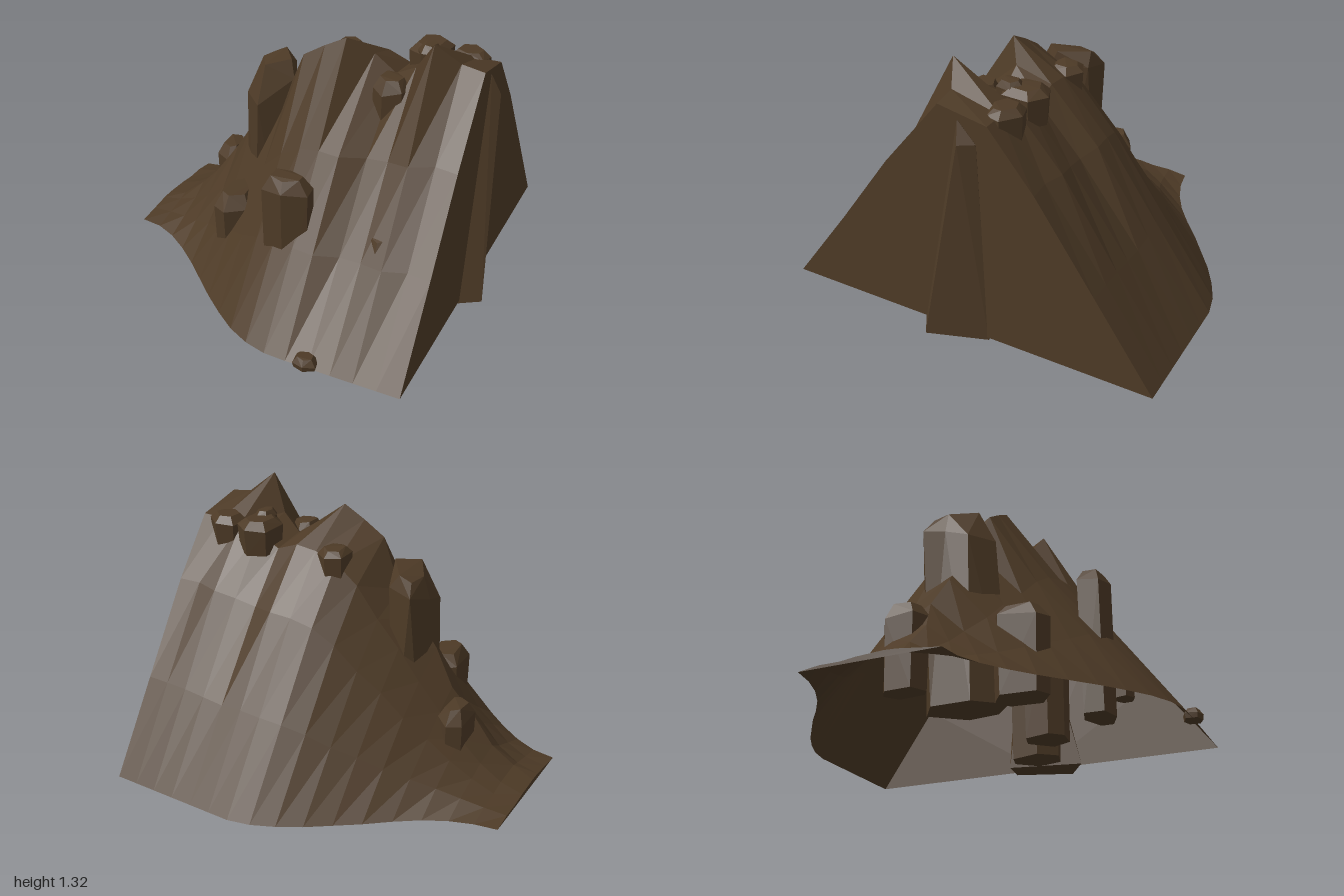
import * as THREE from 'three';
import { ConvexGeometry } from 'three/addons/geometries/ConvexGeometry.js';

const earth = new THREE.MeshStandardMaterial({ color: 0x4d3a26, flatShading: true, side: THREE.DoubleSide });
earth.name = 'earth brown';

const BASE = 0.015;
// Along the hill: x spacing, front and back edge, ridge height, ridge z, general height, rib offset
const X0 = -0.955, STEP = 0.113;
const front = [0.27, 0.285, 0.335, 0.41, 0.5, 0.6, 0.7, 0.79, 0.87, 0.925, 0.955, 0.96, 0.96, 0.96, 0.96, 0.96, 0.96];
const back = [-0.41, -0.43, -0.47, -0.53, -0.61, -0.7, -0.78, -0.86, -0.925, -0.975, -1, -1, -1, -1, -1, -1, -1];
const ridgeY = [0.045, 0.08, 0.17, 0.29, 0.45, 0.62, 0.76, 0.88, 1.12, 1.19, 1.25, 1.16, 1.08, 1.15, 1.32, 1.22, 1.2];
const ridgeZ = [0.0, 0.02, 0.0, 0.02, -0.02, 0.02, 0.03, 0.04, 0.08, 0.08, 0.08, 0.0, 0.0, 0.04, 0.12, 0.06, 0.06];
const mass = [0.04, 0.075, 0.15, 0.26, 0.39, 0.54, 0.7, 0.84, 1, 1.1, 1.14, 1.15, 1.13, 1.16, 1.19, 1.2, 1.2];
const rib = [0, 0, 0, 0.01, -0.01, 0.01, 0, 0.01, 0.01, 0.01, 0.02, 0.04, -0.03, -0.01, 0.03, -0.02, 0];

// One cross-section of the hill, front edge to back edge, as [z, y]
function section(i) {
  const c = (front[i] + back[i]) / 2, w = (front[i] - back[i]) / 2, h = mass[i];
  return [
    [front[i], BASE],
    [c + 0.68 * w + rib[i] * 0.7, BASE + h * 0.35],
    [c + 0.39 * w + rib[i], BASE + h * 0.68],
    [ridgeZ[i], ridgeY[i]],
    [c - 0.17 * w, Math.min(ridgeY[i] * 0.98, h * 0.96)],
    [c - 0.4 * w - rib[i] * 0.5, h * 0.73],
    [c - 0.7 * w, BASE + h * 0.36],
    [back[i], BASE],
  ];
}

function mesh(name, geometry) {
  const m = new THREE.Mesh(geometry, earth);
  m.name = name;
  return m;
}

function surface(points, index) {
  const g = new THREE.BufferGeometry();
  g.setAttribute('position', new THREE.Float32BufferAttribute(points, 3));
  g.setIndex(index);
  const flat = g.toNonIndexed();
  flat.computeVertexNormals();
  return flat;
}

function hillSlope() {
  const points = [], index = [], n = 8;
  for (let i = 0; i < front.length; i++) {
    for (const [z, y] of section(i)) points.push(X0 + i * STEP, y, z);
    if (i === 0) continue;
    for (let j = 0; j < n - 1; j++) {
      const a = (i - 1) * n + j, b = i * n + j;
      index.push(a, b, b + 1, a, b + 1, a + 1);
    }
  }
  return surface(points, index);
}

// Flat wall closing one end of the hill
function endWall(i, facesRight) {
  const s = section(i), x = X0 + i * STEP, points = [x, BASE, (front[i] + back[i]) / 2], index = [];
  s.forEach(([z, y], j) => {
    points.push(x, y, z);
    if (j) index.push(0, ...(facesRight ? [j, j + 1] : [j + 1, j]));
  });
  return surface(points, index);
}

function seeded(seed) {
  return () => (seed = (seed * 16807) % 2147483647) / 2147483647;
}

// Faceted rock: irregular rings inside a box, with a narrowed sloping top
function rock(x0, x1, y0, y1, z0, z1, seed, sides = 6, bevel = 0.06) {
  const rnd = seeded(seed * 7919 + 13), pts = [];
  const cx = (x0 + x1) / 2, cz = (z0 + z1) / 2, turn = rnd();
  const angles = Array.from({ length: sides }, (_, k) => turn + ((k + rnd() * 0.45) / sides) * Math.PI * 2);
  for (const [y, s, tilt] of [[y0, 0.92, 0], [y1 - bevel, 1, 0.4], [y1, 0.62, 0.25]]) {
    for (const a of angles) {
      pts.push(new THREE.Vector3(
        cx + Math.cos(a) * s * (x1 - x0) / 2, y - tilt * bevel * rnd(), cz + Math.sin(a) * s * (z1 - z0) / 2));
    }
  }
  return new ConvexGeometry(pts);
}

const hull = (list) => new ConvexGeometry(list.map((p) => new THREE.Vector3(...p)));

export function createModel() {
  const model = new THREE.Group();
  model.name = 'rockyHill';
  model.add(mesh('hillSlope', hillSlope()));
  model.add(mesh('tallEndWall', endWall(16, true)));
  model.add(mesh('lowEndWall', endWall(0, false)));

  // Tall pillar breaking through the ridge
  model.add(mesh('ridgePillar', hull([
    [-0.37, 0, -0.08], [-0.25, 0, -0.16], [-0.12, 0, 0], [-0.14, 0, 0.16], [-0.25, 0, 0.26], [-0.37, 0, 0.12],
    [-0.365, 0.9, -0.02], [-0.33, 0.95, -0.16], [-0.2, 0.97, -0.13], [-0.12, 0.96, 0.05], [-0.25, 0.85, 0.2], [-0.36, 0.86, 0.1],
    [-0.33, 1.015, -0.02], [-0.31, 1.01, -0.11], [-0.25, 1.04, -0.12], [-0.15, 1.05, 0.02], [-0.25, 1.035, 0.11],
  ])));

  // Leaning buttress standing out of the end wall
  model.add(mesh('endButtress', hull([
    [0.78, 0, 0.24], [0.95, 0, 0.13], [0.85, 0, -0.16], [0.7, 0, -0.14],
    [0.9, 1.05, -0.06], [0.855, 1.05, -0.13], [0.855, 1.15, -0.04], [0.76, 1.1, -0.02],
  ])));

  // Columns standing on the ground and breaking through the slopes: x, y, z ranges
  const columns = [
    [-0.41, -0.18, 0, 0.455, 0.2, 0.49], [-0.03, 0.24, 0, 0.75, 0.49, 0.66],
    [-0.66, -0.49, 0, 0.43, -0.22, 0.01], [0.33, 0.51, 0.3, 1.12, 0.01, 0.19],
    [0.51, 0.645, 0.25, 0.54, 0.5, 0.62], [0.2, 0.45, 0, 0.6, 0.1, 0.35], [0.5, 0.75, 0, 0.7, -0.1, 0.2],
  ];
  columns.forEach((c, i) => model.add(mesh('rockColumn' + (i + 1), rock(...c, i + 3))));

  // Loose boulders near the ridge and at the foot
  const boulders = [
    [0.32, 0.455, 0.02, 0.08, 0.9, 1.0], [0, 0.17, 0.98, 1.13, -0.25, -0.07],
    [0.4, 0.62, 1.03, 1.2, -0.3, -0.06], [0.6, 0.8, 1.04, 1.19, -0.28, -0.1],
    [0.47, 0.58, 1.1, 1.22, -0.18, -0.04],
  ];
  boulders.forEach((b, i) => model.add(mesh('boulder' + (i + 1), rock(...b, i + 21, 6, 0.03))));
  return model;
}
